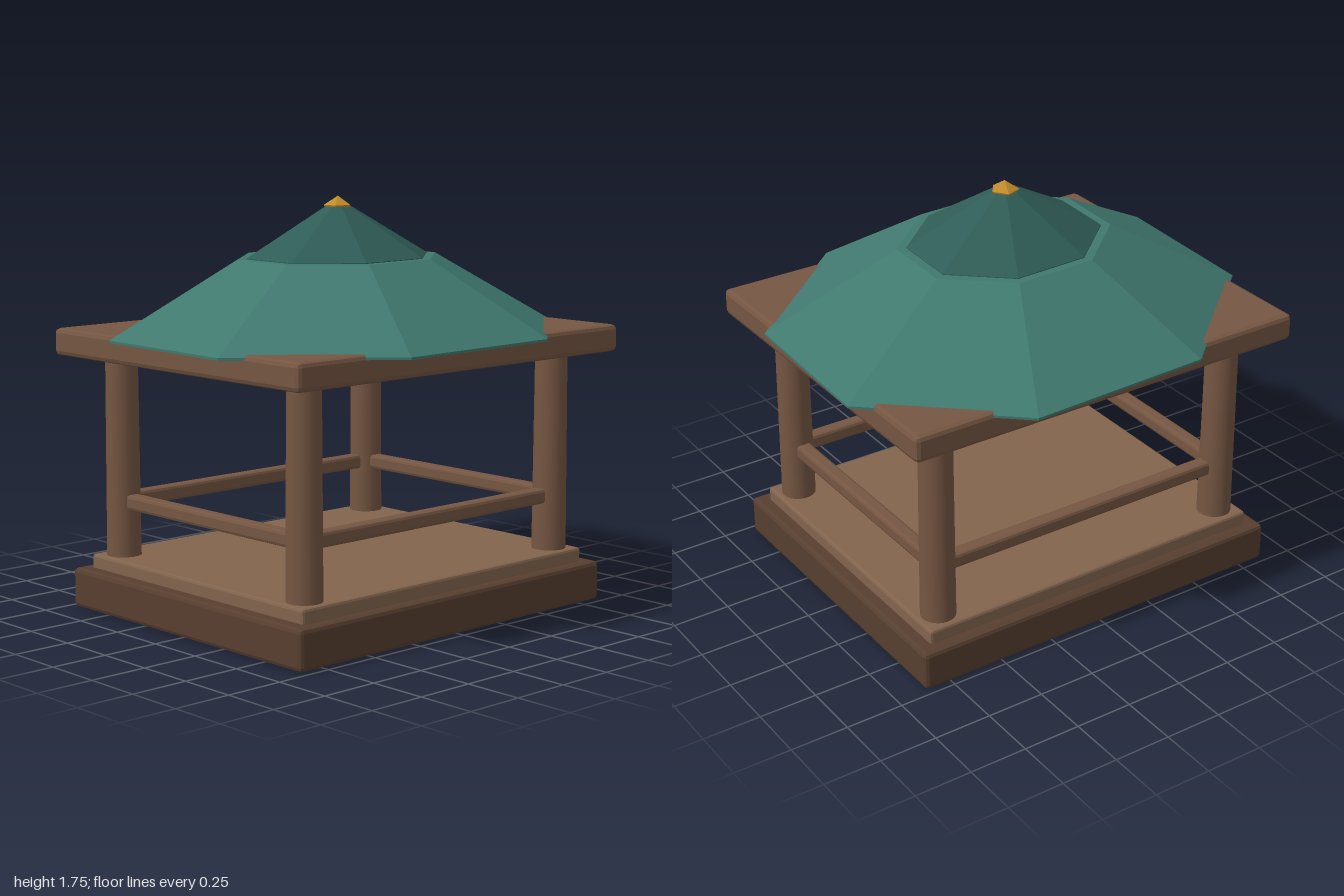
import * as THREE from 'three';
import { RoundedBoxGeometry } from 'three/addons/geometries/RoundedBoxGeometry.js';

const material = (color, flatShading = true) => new THREE.MeshStandardMaterial({ color, flatShading });
const darkWood = material(0x573f2f);
const floorWood = material(0x82644d);
const wood = material(0x755642);
const postWood = material(0x755642, false);
const roofTeal = material(0x40796f);
const capTeal = material(0x2f5c56);
const gold = material(0xc08a2a);

export function createModel() {
  const model = new THREE.Group();
  model.name = 'gardenPavilion';

  const add = (name, geometry, mat, x = 0, y = 0, z = 0) => {
    const mesh = new THREE.Mesh(geometry, mat);
    mesh.name = name;
    mesh.position.set(x, y, z);
    model.add(mesh);
    return mesh;
  };

  // Box with bevelled edges between two heights
  const slab = (name, width, depth, y0, y1, bevel, mat, x = 0, z = 0) =>
    add(name, new RoundedBoxGeometry(width, y1 - y0, depth, 1, bevel), mat, x, (y0 + y1) / 2, z);

  // Stepped base and the beam slab under the roof
  slab('base', 1.74, 1.45, 0, 0.17, 0.018, darkWood);
  slab('floor', 1.62, 1.34, 0.16, 0.23, 0.012, floorWood);
  slab('roofSlab', 1.834, 1.534, 1.085, 1.2, 0.02, wood);

  // Four slightly tapered posts, joined by rails on every side
  const px = 0.712, pz = 0.572;
  const postGeometry = new THREE.CylinderGeometry(0.069, 0.074, 0.88, 24);
  for (const sx of [-1, 1]) {
    for (const sz of [-1, 1]) add('post', postGeometry, postWood, sx * px, 0.66, sz * pz);
  }
  for (const s of [-1, 1]) {
    slab('longRail', 2 * px, 0.065, 0.433, 0.498, 0.014, wood, 0, s * pz);
    slab('sideRail', 0.065, 2 * pz, 0.433, 0.498, 0.014, wood, s * px, 0);
  }

  // Eight-sided roof tiers, stretched and slightly skewed in plan
  const plan = new THREE.Matrix4().set(
    1.057, 0, -0.0, 0,
    0, 1, 0, 0,
    0, 0, 0.936, 0,
    0, 0, 0, 1);
  plan.elements[8] = plan.elements[2] = -0.038;
  const tier = (profile, sides, phase) => new THREE.LatheGeometry(
    profile.map(([r, y]) => new THREE.Vector2(r, y)), sides, phase);

  add('lowerRoof', tier([[0, 1.18], [1, 1.18], [1, 1.19], [0.45, 1.497], [0, 1.497]], 8, Math.PI / 8)
    .applyMatrix4(plan), roofTeal);
  add('upperRoof', tier([[0, 1.49], [0.41, 1.49], [0.41, 1.5], [0.06, 1.705], [0, 1.705]], 8, Math.PI / 8)
    .applyMatrix4(plan), capTeal);

  // Five-sided finial
  add('finial', tier([[0, 1.685], [0.05, 1.69], [0.06, 1.712], [0, 1.75]], 5, Math.PI / 2), gold);

  return model;
}
